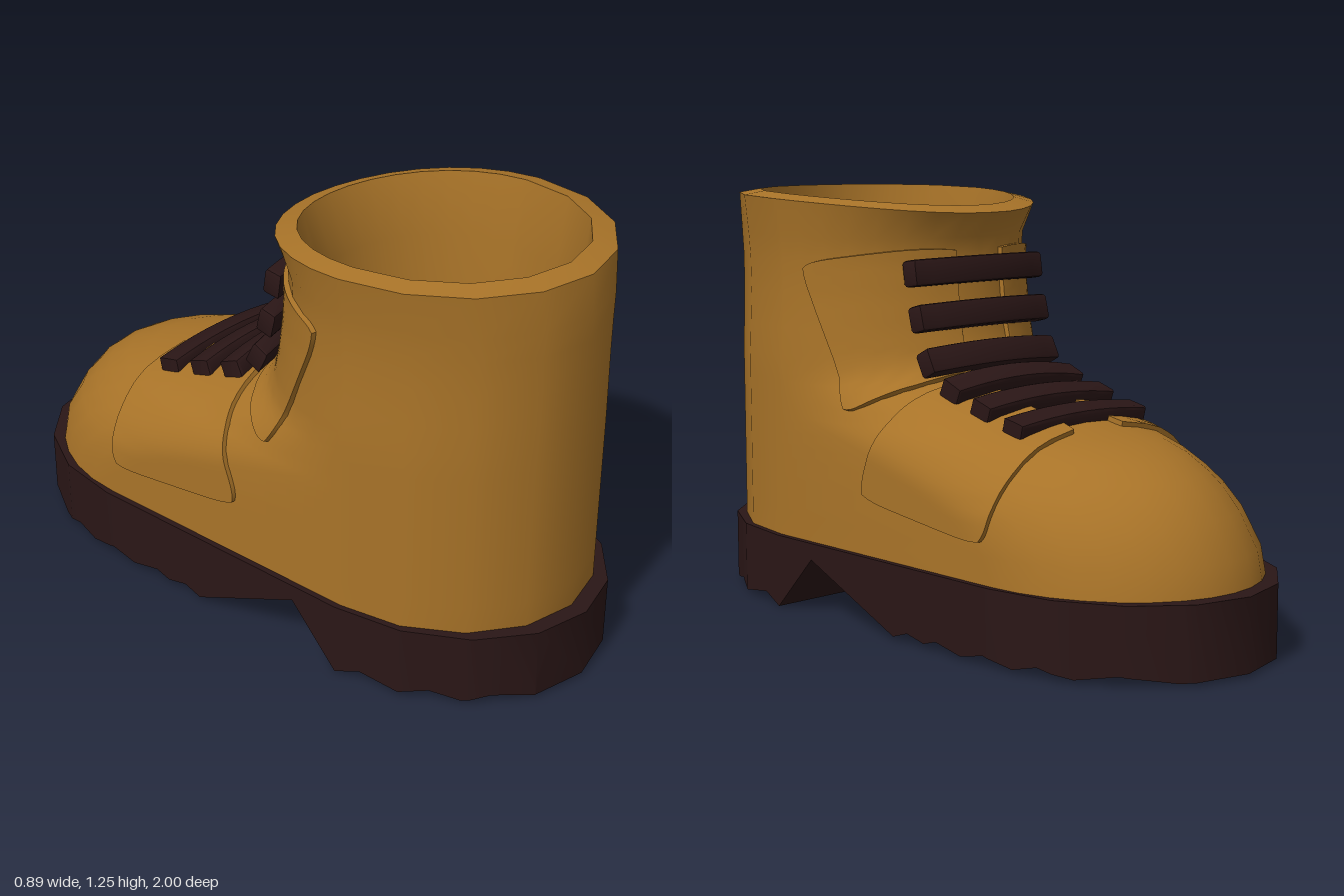
import * as THREE from 'three';
import { toCreasedNormals } from 'three/addons/utils/BufferGeometryUtils.js';

const leather = new THREE.MeshStandardMaterial({ color: 0xa87328, side: THREE.DoubleSide });
const rubber = new THREE.MeshStandardMaterial({ color: 0x2a1616 });
const lerp = THREE.MathUtils.lerp;
const clamp = THREE.MathUtils.clamp;

// Skin a list of cross-sections (arrays of [x, y, z])
function loft(rows, closed, crease) {
  const n = rows[0].length, index = [];
  for (let r = 0; r < rows.length - 1; r++) {
    for (let i = 0; i < (closed ? n : n - 1); i++) {
      const a = r * n + i, b = r * n + (i + 1) % n;
      index.push(a, a + n, b, b, a + n, b + n);
    }
  }
  const geo = new THREE.BufferGeometry();
  geo.setAttribute('position', new THREE.Float32BufferAttribute(rows.flat(2), 3));
  geo.setIndex(index);
  return toCreasedNormals(geo, crease);
}

// Linear lookup in a table whose first column ascends
function lookup(table, v) {
  let i = 0;
  while (i < table.length - 2 && table[i + 1][0] < v) i++;
  const a = table[i], b = table[i + 1];
  const k = clamp((v - a[0]) / (b[0] - a[0]), 0, 1);
  return a.map((q, j) => lerp(q, b[j], k));
}

// Upper: height, front z, centre z of the front curve, half width
const UPPER = [
  [0.2, -0.95, -0.46, 0.425], [0.3, -0.93, -0.42, 0.425], [0.4, -0.87, -0.3, 0.425],
  [0.46, -0.82, -0.14, 0.425], [0.5, -0.77, 0, 0.425], [0.54, -0.7, 0.16, 0.425],
  [0.57, -0.61, 0.28, 0.425], [0.588, -0.52, 0.34, 0.425], [0.605, -0.44, 0.38, 0.425],
  [0.63, -0.34, 0.41, 0.425], [0.66, -0.22, 0.43, 0.425], [0.69, -0.11, 0.44, 0.425],
  [0.72, -0.04, 0.45, 0.425], [0.77, 0, 0.45, 0.424], [0.85, 0.02, 0.45, 0.42],
  [0.95, 0.035, 0.45, 0.415], [1.05, 0.045, 0.45, 0.416], [1.12, 0.045, 0.45, 0.422],
];

function ring(y, front, centre, w, back) {
  const pts = [];
  for (let i = 0; i <= 16; i++) {
    const a = -Math.PI / 2 + Math.PI * i / 16;
    pts.push([w * Math.sin(a), y, centre - (centre - front) * Math.cos(a)]);
  }
  for (let i = 0; i <= 8; i++) {
    const a = Math.PI / 2 + Math.PI * i / 8;
    pts.push([w * Math.sin(a), y, 0.465 - (back - 0.465) * Math.cos(a)]);
  }
  return pts;
}

function makeUpper() {
  const rows = UPPER.map(([y, f, c, w]) => ring(y, f, c, w, 0.95));
  // collar dips towards the front
  const dip = (pts) => pts.map(([x, y, z]) => [x, y - 0.045 * Math.pow(clamp((0.94 - z) / 0.94, 0, 1), 3), z]);
  rows.push(dip(ring(1.238, -0.005, 0.45, 0.44, 0.94)));
  rows.push(dip(ring(1.25, 0.055, 0.45, 0.38, 0.87)));
  // lining
  rows.push(ring(1.05, 0.12, 0.45, 0.345, 0.865));
  rows.push(ring(0.2, 0.13, 0.45, 0.345, 0.865));
  return loft(rows, true, 0.75);
}

// Squared half width of the upper at a given depth and height
function widthSq(z, y) {
  const [, f, c, w] = lookup(UPPER, y);
  const k = z < c ? (c - z) / (c - f) : 0;
  return w * w * (1 - k * k);
}

// Raised panel over the upper; corners are [z, y]
function makePanel(side, bottomFront, bottomBack, topFront, topBack) {
  const N = 18, rows = [], e = 0.004;
  for (let j = -1; j <= N + 1; j++) {
    const row = [];
    for (let i = -1; i <= N + 1; i++) {
      const p = clamp(i / N, 0, 1) * 2 - 1, q = clamp(j / N, 0, 1) * 2 - 1;
      const s = (p * (1 - 0.07 * q ** 6) + 1) / 2, t = (q * (1 - 0.07 * p ** 6) + 1) / 2;
      const at = (k) => lerp(lerp(bottomFront[k], bottomBack[k], s), lerp(topFront[k], topBack[k], s), t);
      const y = at(1);
      const [, f, c] = lookup(UPPER, y);
      const z = Math.max(at(0), c - 0.977 * (c - f));
      const x = Math.sqrt(Math.max(widthSq(z, y), 0));
      const n = new THREE.Vector3(2 * x,
        (widthSq(z, y - e) - widthSq(z, y + e)) / (2 * e),
        (widthSq(z - e, y) - widthSq(z + e, y)) / (2 * e)).normalize();
      const rim = i < 0 || j < 0 || i > N || j > N;
      const off = rim ? -0.008 : 0.014;
      row.push([side * (x + n.x * off), y + n.y * off, z + n.z * off]);
    }
    rows.push(side > 0 ? row : row.reverse());
  }
  return loft(rows, false, 0.7);
}

// Sole: outline half widths and underside profile, both along z
function makeSole() {
  const outline = [];
  for (let i = 0; i <= 4; i++) {
    const a = Math.PI / 8 * i;
    outline.push([-0.46 - 0.54 * Math.cos(a), 0.443 * Math.sin(a)]);
  }
  outline.push(...outline.map(([z, w]) => [-z, w]).reverse());
  const under = [
    [-1, 0.01], [-0.93, 0.01], [-0.83, 0.03], [-0.72, 0.01], [-0.62, 0.03], [-0.54, 0.01],
    [-0.44, 0.03], [-0.35, 0.01], [-0.25, 0.03], [-0.2, 0.015], [-0.13, 0.03], [-0.07, 0.01],
    [0.3, 0.17], [0.46, 0], [0.54, 0.03], [0.66, 0.01], [0.74, 0.03],
    [0.82, 0.01], [0.88, 0.025], [0.96, 0.01], [1, 0.01],
  ];
  const stations = [...new Set([...outline, ...under].map((p) => +p[0].toFixed(4)))].sort((a, b) => a - b);
  const rows = stations.map((z) => {
    const w = lookup(outline, z)[1], b = lookup(under, z)[1];
    return [[-w, 0.22, z], [w, 0.22, z], [w, b, z], [-w, b, z]];
  });
  return loft(rows, true, 0.5);
}

// Curved band across the instep
function makeLace(drop) {
  const w = 0.245, h = 0.036, s = new THREE.Shape();
  s.moveTo(-w, -drop);
  s.quadraticCurveTo(0, drop, w, -drop);
  s.lineTo(w, -drop - h);
  s.quadraticCurveTo(0, drop - h, -w, -drop - h);
  s.closePath();
  const geo = new THREE.ExtrudeGeometry(s, {
    depth: 0.058, curveSegments: 10, bevelThickness: 0.01, bevelSize: 0.01, bevelSegments: 2,
  });
  geo.translate(0, 0, -0.029);
  return toCreasedNormals(geo, 0.6);
}

export function createModel() {
  const boot = new THREE.Group();
  boot.name = 'boot';
  const add = (name, geo, mat) => {
    const mesh = new THREE.Mesh(geo, mat);
    mesh.name = name;
    boot.add(mesh);
    return mesh;
  };

  add('sole', makeSole(), rubber);
  add('upper', makeUpper(), leather);

  for (const [label, side] of [['left', 1], ['right', -1]]) {
    add(label + 'AnklePanel', makePanel(side, [-0.04, 0.73], [0.18, 0.61], [0.04, 1.1], [0.375, 1.045]), leather);
    add(label + 'InstepPanel', makePanel(side, [-0.43, 0.325], [0.09, 0.39], [-0.46, 0.605], [-0.04, 0.725]), leather);
  }

  // Laces: z, y of the outer face, tilt, drop at the ends
  const laces = [
    [-0.365, 0.65, -0.22, 0.018], [-0.24, 0.69, -0.32, 0.02], [-0.12, 0.735, -0.4, 0.025],
    [-0.045, 0.79, -1.1, 0.03], [-0.01, 0.905, -1.32, 0.03], [0.015, 1.03, -1.42, 0.03],
  ];
  laces.forEach(([z, y, tilt, drop], i) => {
    const lace = add('lace' + (i + 1), makeLace(drop), rubber);
    lace.position.set(0, y, z);
    lace.rotation.x = tilt;
  });
  return boot;
}
